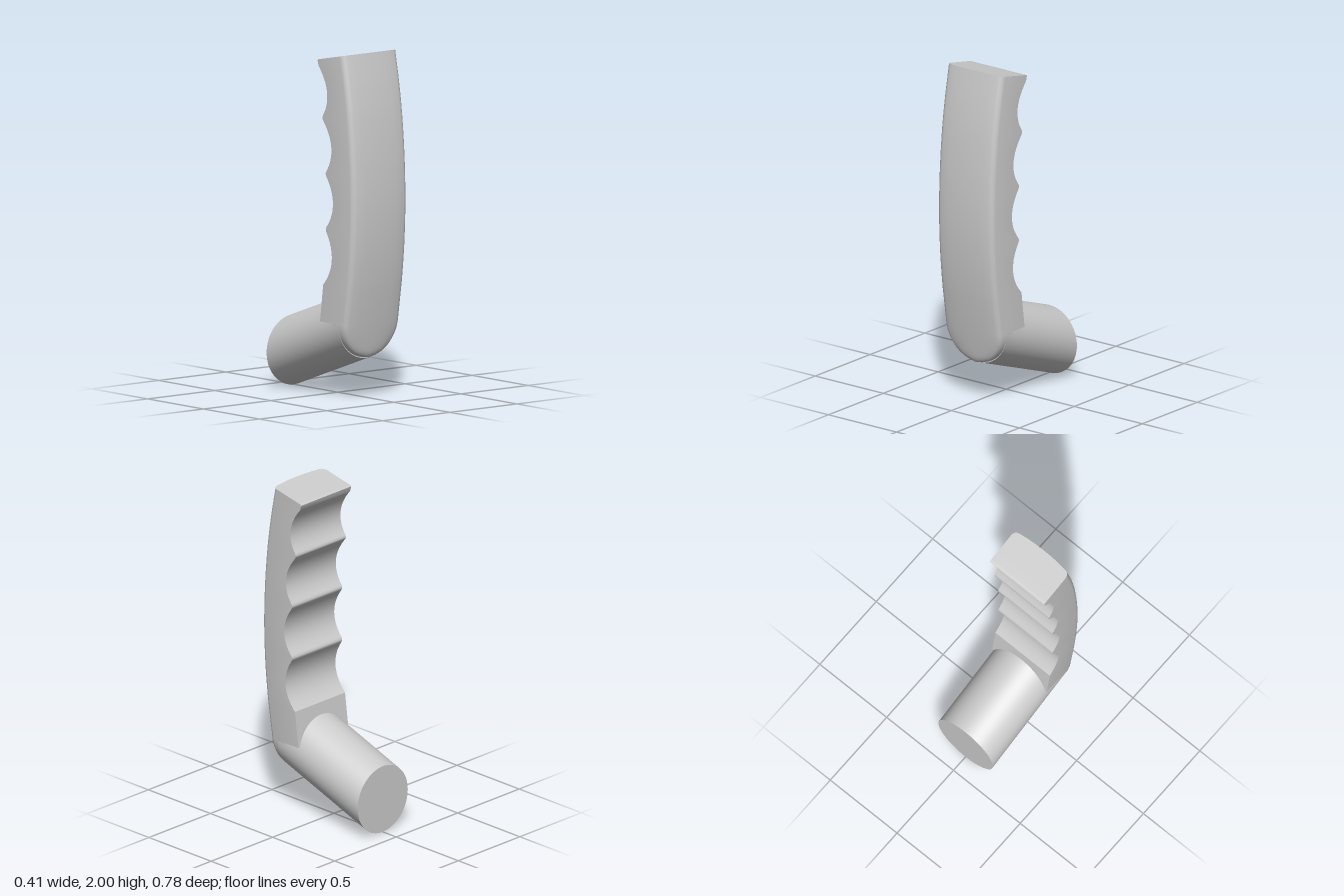
import * as THREE from 'three';
import { toCreasedNormals } from 'three/addons/utils/BufferGeometryUtils.js';

const R = 0.2035;          // half width of grip and radius of stem
const JOIN_Y = 0.437;      // height where the grip rounds into the stem
const V = (z, y) => new THREE.Vector2(z, y);

// Bowed front edge of the grip: depth z at height y
const bow = new THREE.SplineCurve([
  V(0.272, 0.23), V(0.287, 0.255), V(0.299, 0.3), V(0.325, 0.44), V(0.351, 0.6), V(0.379, 0.85),
  V(0.391, 1.1), V(0.386, 1.35), V(0.366, 1.6), V(0.338, 1.8), V(0.30, 2),
]).getPoints(160);
function frontZ(y) {
  let i = 1;
  while (i < bow.length - 1 && bow[i].y < y) i++;
  const a = bow[i - 1], b = bow[i];
  return a.x + (b.x - a.x) * (y - a.y) / (b.y - a.y);
}

// Back edge with four finger scallops, from top to bottom
function backEdge() {
  const crests = [V(0.056, 1.935), V(0.1, 1.62), V(0.129, 1.3), V(0.13, 0.978), V(0.113, 0.655)];
  const depths = [0.148, 0.186, 0.2, 0.19];
  const pts = [V(0.085, 1.957), V(0.071, 1.954), V(0.063, 1.948)];
  depths.forEach((deep, k) => {
    const a = crests[k], b = crests[k + 1];
    const mid = V(2 * deep - (a.x + b.x) / 2, (a.y + b.y) / 2 - 0.015);
    const arc = new THREE.QuadraticBezierCurve(a, mid, b);
    const end = k === 3 ? 1 : 0.95;
    for (let i = 0; i <= 18; i++) pts.push(arc.getPoint(0.05 + (end - 0.05) * i / 18));
    if (k < 3) {               // soften the crest between two scallops
      const next = V(2 * depths[k + 1] - (b.x + crests[k + 2].x) / 2, (b.y + crests[k + 2].y) / 2 - 0.015);
      const from = arc.getPoint(0.95);
      const to = new THREE.QuadraticBezierCurve(b, next, crests[k + 2]).getPoint(0.05);
      const round = new THREE.QuadraticBezierCurve(from, b, to);
      for (let i = 1; i < 5; i++) pts.push(round.getPoint(i / 5));
    }
  });
  pts.push(V(0.085, 0.44));
  return pts;
}

// Crowned front with rounded corners: [fraction of half width, set-back]
const half = [[0, 0], [0.3, 0.001], [0.6, 0.005], [0.84, 0.011], [0.92, 0.016], [0.975, 0.026], [1, 0.042]];
const crown = [...half.slice(1).reverse().map(([u, d]) => [-u, d]), ...half];

// One cross-section between a front point and a back point
function section(front, back, w) {
  const dir = back.clone().sub(front).normalize();
  const ring = crown.map(([u, d]) => [u * w, front.y + dir.y * d, front.x + dir.x * d]);
  ring.push([w, back.y, back.x], [-w, back.y, back.x]);
  return ring;
}

function gripGeometry() {
  const edge = backEdge();
  const rows = edge.map((b) => {
    const y = 0.44 + (b.y - 0.44) * (1.56 / 1.517);
    return section(V(frontZ(y), y), b, R);
  });
  // U-shaped lower end that closes over the stem
  for (let i = 0; i <= 20; i++) {
    const a = (i / 20) * Math.PI / 2;
    const y = JOIN_Y - 0.203 * Math.sin(a);
    rows.push(section(V(frontZ(y), y), V(0.2, y), R * Math.cos(a)));
  }
  const n = rows[0].length, index = [];
  for (let i = 0; i < rows.length - 1; i++) {
    for (let j = 0; j < n; j++) {
      const k = (j + 1) % n;
      const a = i * n + j, b = i * n + k;
      index.push(a, a + n, b + n, a, b + n, b);
    }
  }
  for (let j = 1; j < n - 1; j++) index.push(0, j, j + 1);   // sloping top
  const geo = new THREE.BufferGeometry();
  geo.setAttribute('position', new THREE.Float32BufferAttribute(rows.flat(2), 3));
  geo.setIndex(index);
  return toCreasedNormals(geo, 0.55);
}

// Round stem, sheared so that it slopes while its end stays vertical
function stemGeometry() {
  const back = -0.392, front = 0.25, slope = 0.355;
  const geo = new THREE.CylinderGeometry(R, R, front - back, 72);
  geo.rotateX(Math.PI / 2).translate(0, 0, (front + back) / 2);
  geo.applyMatrix4(new THREE.Matrix4().set(
    1, 0, 0, 0,
    0, 1, slope, R - slope * back,
    0, 0, 1, 0,
    0, 0, 0, 1));
  return geo;
}

export function createModel() {
  const material = new THREE.MeshStandardMaterial({ color: 0xcccccc });
  const model = new THREE.Group();
  model.name = 'handle';
  const add = (name, geo) => {
    const mesh = new THREE.Mesh(geo, material);
    mesh.name = name;
    model.add(mesh);
  };
  add('grip', gripGeometry());
  add('stem', stemGeometry());
  return model;
}
